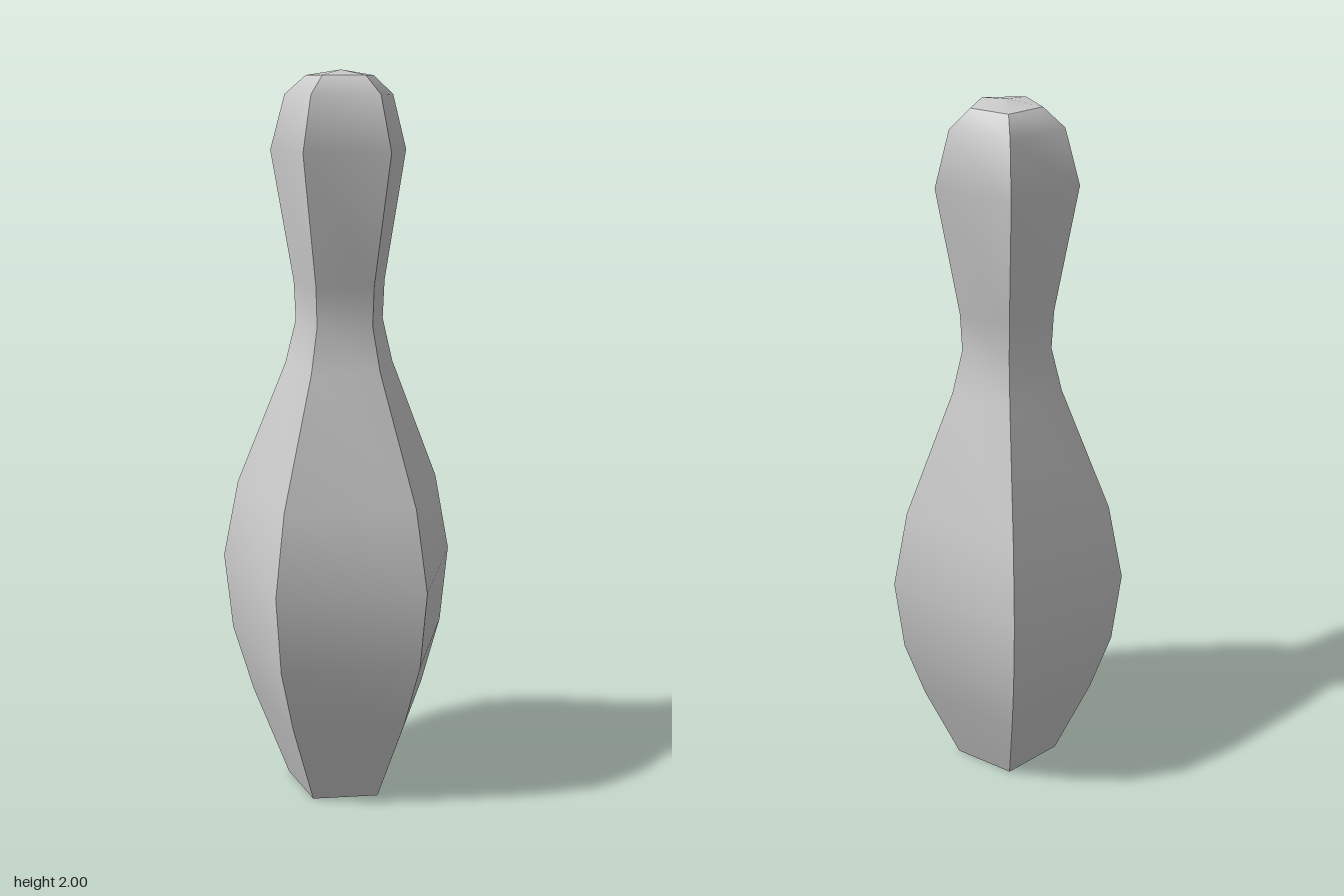
import * as THREE from 'three';
import { mergeGeometries } from 'three/addons/utils/BufferGeometryUtils.js';

const SIDES = 5;
const STEP = (Math.PI * 2) / SIDES;

// Profile from base to crown: [corner radius, height]
const PROFILE = [
  [0.156, 0], [0.26, 0.254], [0.318, 0.44], [0.341, 0.658], [0.296, 0.88],
  [0.155, 1.225], [0.125, 1.345], [0.13, 1.45], [0.191, 1.795],
  [0.151, 1.938], [0.094, 1.986],
];

export function createModel() {
  const material = new THREE.MeshStandardMaterial({ color: 0xcccccc });
  const group = new THREE.Group();
  group.name = 'bowlingPin';

  const add = (name, geometry) => {
    const mesh = new THREE.Mesh(geometry, material);
    mesh.name = name;
    group.add(mesh);
    return mesh;
  };

  // Body: five panels, smooth along the height and sharp at the corners
  const points = PROFILE.map(([r, y]) => new THREE.Vector2(r, y));
  const panels = [];
  for (let i = 0; i < SIDES; i++) {
    const panel = new THREE.LatheGeometry(points, 1, Math.PI + i * STEP, STEP);
    panel.computeVertexNormals();
    panels.push(panel);
  }
  add('body', mergeGeometries(panels));

  // Crown: very shallow pyramid closing the top
  const [topRadius, topY] = PROFILE[PROFILE.length - 1];
  const crownHeight = 2 - topY;
  const crown = new THREE.ConeGeometry(topRadius, crownHeight, SIDES, 1, true, Math.PI);
  add('crown', crown).position.y = topY + crownHeight / 2;

  // Base: flat pentagon facing down
  const base = new THREE.CircleGeometry(PROFILE[0][0], SIDES, -Math.PI / 2);
  base.rotateX(Math.PI / 2);
  add('base', base);

  // Centre the pentagon's depth, which is uneven about its axis
  group.children.forEach((mesh) => { mesh.position.z = 0.032; });
  return group;
}
